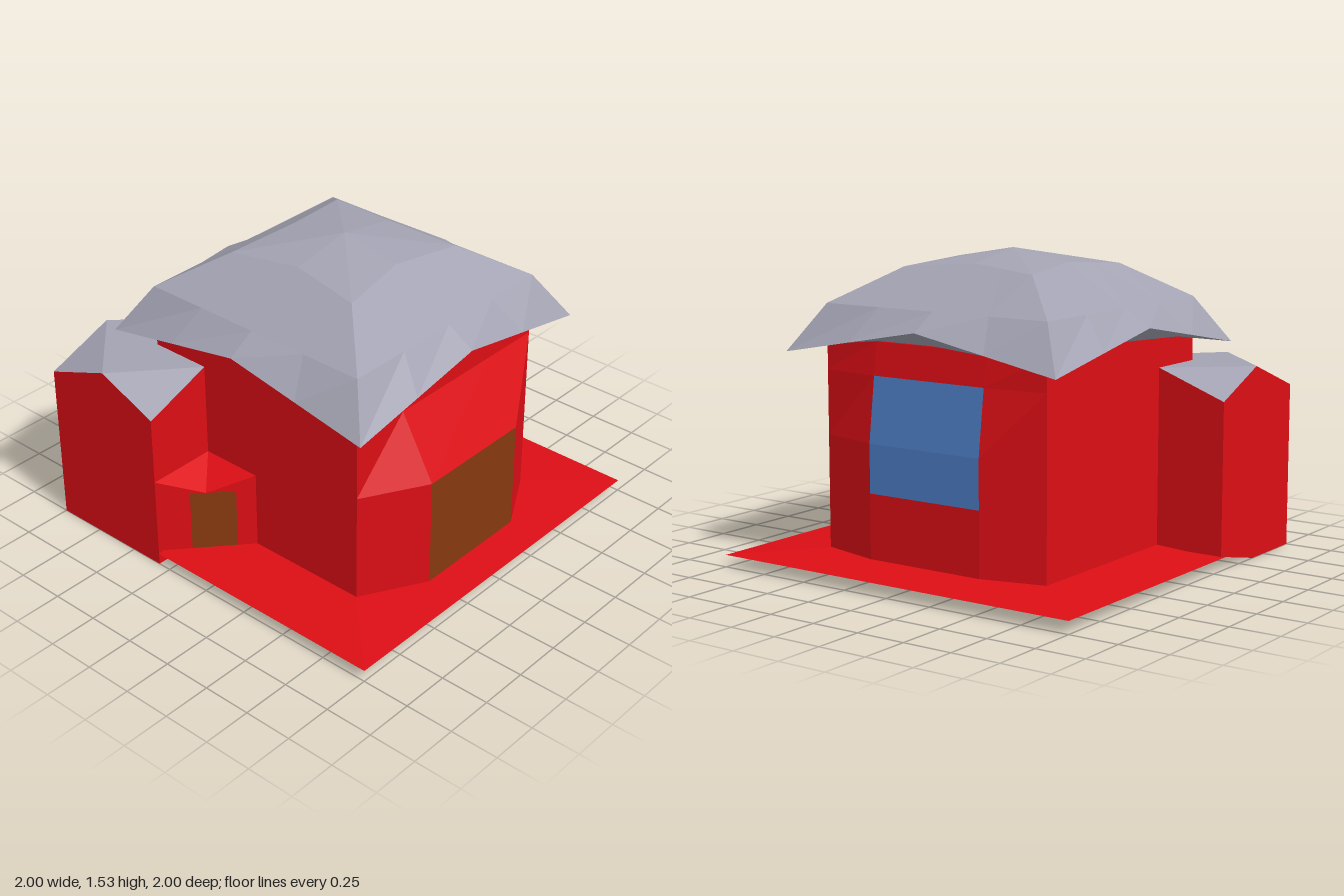
import * as THREE from 'three';

const RED = 0xdc0e15, GREY = 0xa2a2b2, BROWN = 0x87380f, BLUE = 0x4c7cc4;

// Flat-shaded mesh from a list of triangles
function facets(name, color, tris) {
  const geo = new THREE.BufferGeometry();
  geo.setAttribute('position', new THREE.Float32BufferAttribute(tris.flat(2), 3));
  geo.computeVertexNormals();
  const mat = new THREE.MeshStandardMaterial({ color, flatShading: true, side: THREE.DoubleSide });
  const mesh = new THREE.Mesh(geo, mat);
  mesh.name = name;
  return mesh;
}

// Quads between rows of points (bottom to top, left to right seen from outside)
function skin(rows, keep = () => true) {
  const tris = [];
  for (let i = 0; i + 1 < rows.length; i++)
    for (let j = 0; j + 1 < rows[i].length; j++) {
      if (!keep(i, j)) continue;
      const a = rows[i][j], b = rows[i][j + 1], c = rows[i + 1][j + 1], d = rows[i + 1][j];
      for (const t of [[a, b, c], [a, c, d]])
        if (new Set(t.map(String)).size === 3) tris.push(t);
    }
  return tris;
}

// Turn a point on the front (+z) side to side s: 0 front, 1 left (+x), 2 back, 3 right
function turn([x, y, z], s) {
  for (let i = 0; i < s; i++) [x, z] = [z, -x];
  return [x, y, z];
}

// Closed ring made of four copies of one side's points
function ring(points) {
  const out = [];
  for (let s = 0; s < 4; s++) points.forEach(p => out.push(turn(p, s)));
  return [...out, out[0]];
}
const square = (r, y) => ring([[-r, y, r]]);
const point = (n, p) => Array(n).fill(p);

// House wall whose middle bay bulges out; the opening fills the given rows of that bay
function wall(group, side, levels, openRows, openName, openColor) {
  const rows = levels.map(([y, d]) =>
    [[-0.64, 0.64], [-0.32, d], [0.32, d], [0.64, 0.64]].map(([x, z]) => turn([x, y, z], side)));
  const open = (i, j) => j === 1 && openRows.includes(i);
  group.add(facets('houseWall', RED, skin(rows, (i, j) => !open(i, j))));
  if (openRows.length) group.add(facets(openName, openColor, skin(rows, open)));
}

export function createModel() {
  const model = new THREE.Group();
  model.name = 'house';

  // Ground slab with undercut edges
  model.add(facets('groundSlab', RED, skin([
    point(5, [0, 0, 0]), square(0.64, 0), square(1, 0.06), square(0.64, 0.08), point(5, [0, 0.08, 0])])));

  // House walls, garage door on the left, window at the back
  const walls = new THREE.Group();
  walls.name = 'houseWalls';
  const plain = [[0.08, 0.64], [1.12, 0.64]];
  wall(walls, 0, plain, []);
  wall(walls, 3, plain, []);
  wall(walls, 1, [[0.08, 0.82], [0.64, 0.82], [0.96, 0.64], [1.12, 0.64]], [0], 'garageDoor', BROWN);
  wall(walls, 2, [[0.08, 0.72], [0.4, 0.72], [0.64, 0.72], [0.96, 0.68], [1.12, 0.66]], [1, 2], 'window', BLUE);
  model.add(walls);

  // Main roof: soffit, drooping eaves, hips and shallow crown
  const ts = [-1, -0.5, 0, 0.5];
  model.add(facets('mainRoof', GREY, skin([
    ring(ts.map(t => [t * 0.64, 1.12, 0.64])),
    ring(ts.map(t => [t * 0.78, 1.195 - 0.145 * Math.abs(t), 0.78])),
    ring(ts.map(t => [t * 0.64, 1.28, 0.64])),
    ring(ts.map(t => [t * 0.375, 1.48 - 0.03 * Math.abs(t), 0.32 + 0.055 * Math.abs(t)])),
    point(17, [0, 1.535, 0])])));

  // Corner annex with a gable on each side
  const plan = [[-1, 1], [-0.64, 1], [-0.32, 1], [-0.32, 0.64], [-0.32, 0.32], [-0.64, 0.32], [-1, 0.32], [-1, 0.64], [-1, 1]];
  const feet = [0, 0, 0, 0, 0.07, 0.07, 0.07, 0, 0];
  const bottom = plan.map(([x, z], i) => [x, feet[i], z]);
  const top = plan.map(([x, z], i) => [x, i % 2 ? 0.96 : 0.825, z]);
  model.add(facets('annexWalls', RED, skin([point(9, [-0.64, 0, 0.64]), bottom, top])));
  // Each roof quarter folds between its two neighbouring gable peaks
  const hub = [-0.64, 0.96, 0.64];
  const roof = [];
  for (let i = 0; i < 8; i += 2) {
    const before = top[(i + 7) % 8], after = top[i + 1];
    roof.push([before, top[i], after], [before, after, hub]);
  }
  model.add(facets('annexRoof', GREY, roof));

  // Diagonal porch with its door
  const rows = [0.08, 0.4].map(y => [0, 0.34, 0.8, 1].map(t => [-0.32 + 0.32 * t, y, 1 - 0.36 * t]));
  const isDoor = (i, j) => j === 1;
  model.add(facets('porchWall', RED, skin(rows, (i, j) => !isDoor(i, j))));
  model.add(facets('porchDoor', BROWN, skin(rows, isDoor)));
  const rim = [[0, 0.4, 0.64], [0, 0.48, 0.64], [-0.32, 0.48, 0.64], [-0.32, 0.48, 1], [-0.32, 0.4, 1]];
  const dip = [-0.16, 0.4, 0.82];
  model.add(facets('porchRoof', RED, rim.slice(1).map((p, i) => [dip, rim[i], p])));

  return model;
}
